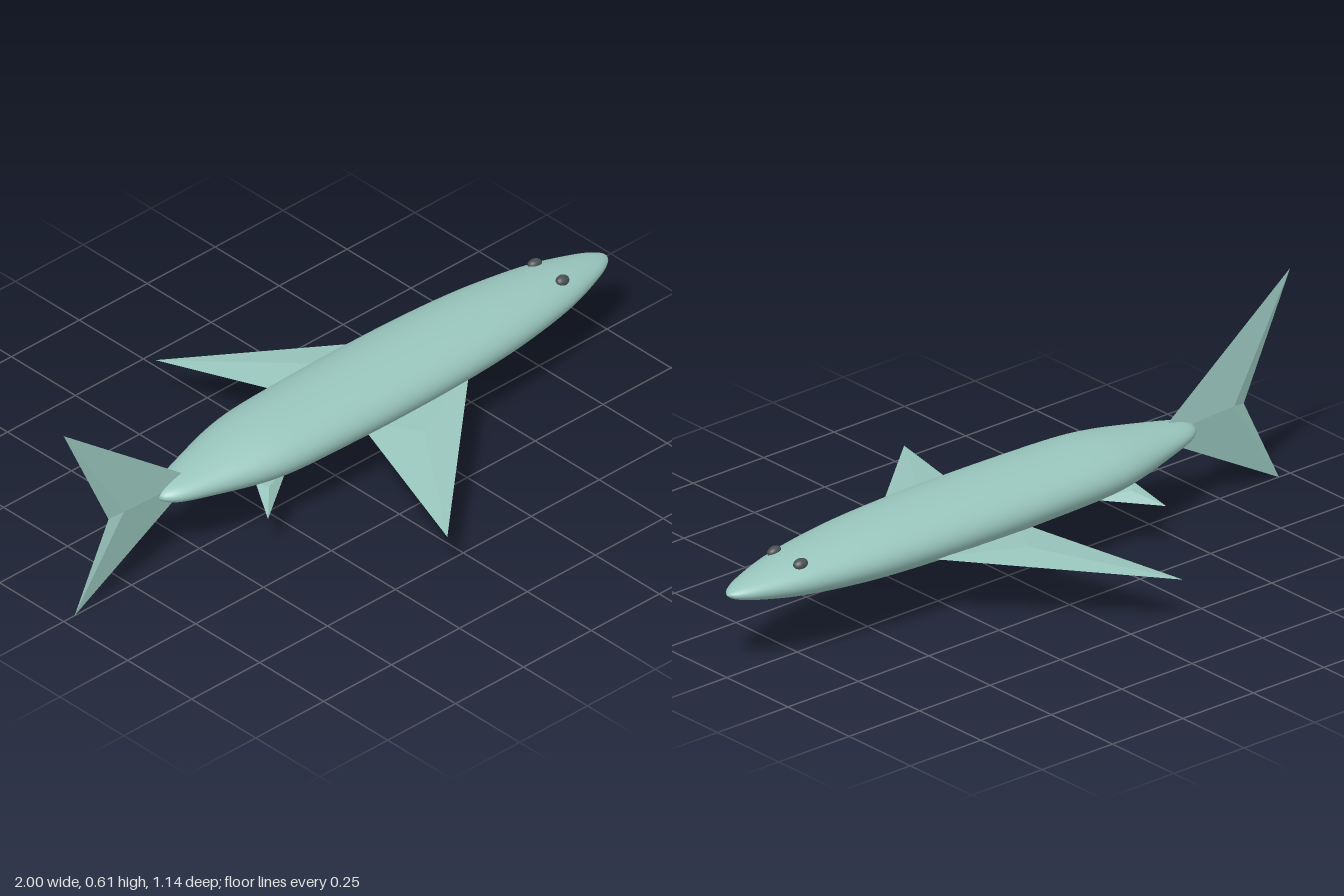
import * as THREE from 'three';

const skin = new THREE.MeshStandardMaterial({ color: 0x98c5bc });
skin.name = 'paleTealSkin';
const dark = new THREE.MeshStandardMaterial({ color: 0x4a5050 });
dark.name = 'darkGreyEye';

// Faceted fin: an outline closed on both sides by a raised ridge point.
// The outline runs counter-clockwise as seen from the first ridge point.
function finGeometry(outline, ridgeA, ridgeB) {
  const pos = [];
  outline.forEach((a, i) => {
    const b = outline[(i + 1) % outline.length];
    pos.push(...ridgeA, ...a, ...b, ...ridgeB, ...b, ...a);
  });
  const g = new THREE.BufferGeometry();
  g.setAttribute('position', new THREE.Float32BufferAttribute(pos, 3));
  g.computeVertexNormals();
  return g;
}

function sideFin(outline, ridgeA, ridgeB, side) {
  const flip = ([x, y, z]) => [x, y, z * side];
  const pts = outline.map(flip);
  if (side < 0) pts.reverse();
  return finGeometry(pts, flip(ridgeA), flip(ridgeB));
}

export function createModel() {
  const model = new THREE.Group();
  const add = (name, geometry, material) => {
    const mesh = new THREE.Mesh(geometry, material);
    mesh.name = name;
    model.add(mesh);
    return mesh;
  };

  // Body: smooth spindle along x, flattened in height
  const profile = [
    [0, -0.655], [0.025, -0.645], [0.053, -0.605], [0.085, -0.51], [0.125, -0.37],
    [0.143, -0.25], [0.15, -0.05], [0.152, 0.15], [0.148, 0.37], [0.133, 0.58],
    [0.1, 0.78], [0.056, 0.92], [0.025, 0.98], [0, 0.999],
  ].map(([r, x]) => new THREE.Vector2(r, x));
  const points = new THREE.SplineCurve(profile).getPoints(64);
  points.forEach((p) => { p.x = Math.max(p.x, 0); });
  const bodyGeometry = new THREE.LatheGeometry(points, 48);
  bodyGeometry.rotateZ(-Math.PI / 2);
  bodyGeometry.scale(1, 0.55, 1);
  add('body', bodyGeometry, skin).position.y = 0.241;

  // Upright forked tail fin
  add('tailFin', finGeometry(
    [[-1, 0.605, 0], [-0.835, 0.255, 0], [-0.96, 0, 0], [-0.52, 0.243, 0]],
    [-0.79, 0.265, 0.013], [-0.79, 0.265, -0.013],
  ), skin);

  for (const side of [1, -1]) {
    const label = side > 0 ? 'front' : 'back';

    // Long swept wing-like fin
    add(label + 'PectoralFin', sideFin(
      [[-0.125, 0.147, 0.57], [0.4, 0.206, 0.1], [0.03, 0.19, 0.06]],
      [0.12, 0.196, 0.22], [0.12, 0.166, 0.22], side,
    ), skin);

    // Small fin near the tail
    add(label + 'PelvicFin', sideFin(
      [[-0.41, 0.14, 0.172], [-0.23, 0.175, 0.06], [-0.37, 0.195, 0.08]],
      [-0.345, 0.182, 0.108], [-0.345, 0.158, 0.092], side,
    ), skin);

    // Eye
    const eye = add(label + 'Eye', new THREE.SphereGeometry(1, 24, 16), dark);
    eye.scale.set(0.022, 0.014, 0.016);
    eye.position.set(0.785, 0.289, 0.054 * side);
    eye.rotation.set(0.5 * side, 0, -0.15);
  }

  return model;
}
